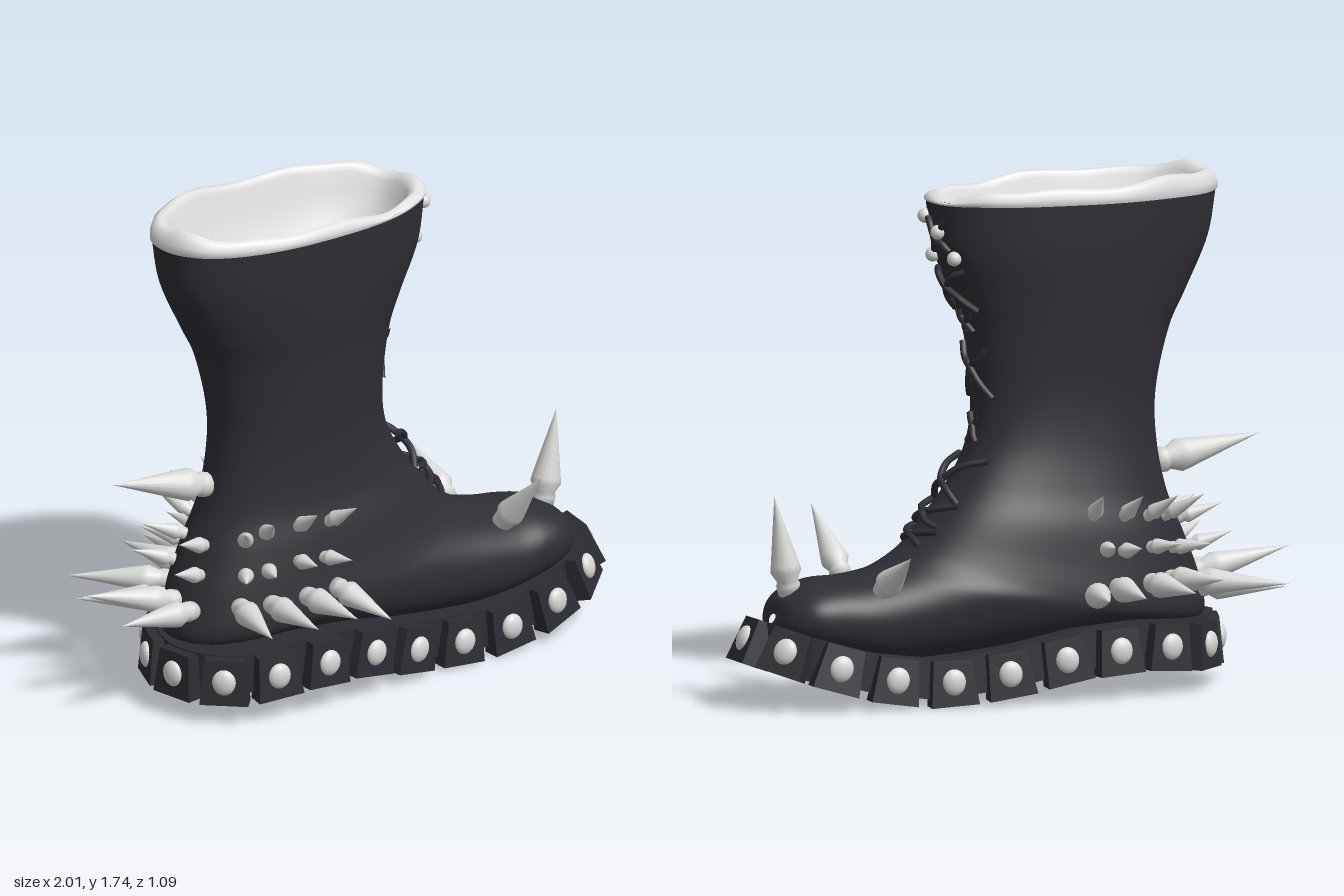
import * as THREE from 'three';
import { toCreasedNormals } from 'three/addons/utils/BufferGeometryUtils.js';

const mat = (name, color) => {
  const m = new THREE.MeshStandardMaterial({ color });
  m.name = name;
  return m;
};
const V = (x, y, z) => new THREE.Vector3(x, y, z);

// Skin between closed rings that all have the same number of points
function loft(rings) {
  const n = rings[0].length, pos = [], idx = [];
  rings.forEach(r => r.forEach(p => pos.push(p.x, p.y, p.z)));
  for (let i = 0; i < rings.length - 1; i++) for (let j = 0; j < n; j++) {
    const a = i * n + j, b = i * n + (j + 1) % n;
    idx.push(a, b, a + n, b, b + n, a + n);
  }
  const g = new THREE.BufferGeometry();
  g.setAttribute('position', new THREE.Float32BufferAttribute(pos, 3));
  g.setIndex(idx);
  g.computeVertexNormals();
  return g;
}

// Boot sections from cuff to toe: front x, y, back x, y, half width, centre z
const SECTIONS = [
  [.285, 1.672, -.745, 1.662, .257, .045], [.26, 1.5, -.715, 1.5, .247, .045],
  [.19, 1.33, -.635, 1.33, .225, .042], [.15, 1.2, -.57, 1.2, .206, .037],
  [.13, 1, -.522, 1, .187, .033], [.15, .85, -.52, .83, .187, .025],
  [.22, .72, -.55, .66, .205, .015], [.3, .62, -.605, .52, .235, .01],
  [.38, .53, -.665, .36, .255, .01], [.43, .49, -.67, .22, .27, .01],
  [.5, .45, -.45, .2, .27, .01], [.55, .435, 0, .15, .25, .02],
  [.62, .425, .45, .12, .225, .035], [.7, .42, .68, .16, .205, .05],
  [.78, .4, .8, .2, .175, .05], [.84, .36, .86, .24, .11, .05],
  [.86, .31, .875, .28, .02, .05]
];
const LAST = SECTIONS.length - 1;
const frontCurve = new THREE.CatmullRomCurve3(SECTIONS.map(s => V(s[0], s[1], s[4])), false, 'catmullrom');
const backCurve = new THREE.CatmullRomCurve3(SECTIONS.map(s => V(s[2], s[3], s[5])), false, 'catmullrom');
const round = v => Math.sign(v) * Math.pow(Math.abs(v), 2 / 2.25);

// One section ring; row counts along SECTIONS
function sectionRing(row, scale = 1, n = 96) {
  const f = frontCurve.getPoint(row / LAST), b = backCurve.getPoint(row / LAST);
  return Array.from({ length: n }, (_, j) => {
    const t = j / n * Math.PI * 2, c = round(Math.cos(t)) * scale, s = round(Math.sin(t)) * scale;
    return V((f.x + b.x) / 2 + (f.x - b.x) / 2 * c, (f.y + b.y) / 2 + (f.y - b.y) / 2 * c, b.z + f.z * s);
  });
}

// Sole outline (x, z) and its underside height along x
const OUTLINE = [
  [-.76, .08], [-.71, .23], [-.6, .33], [-.4, .375], [-.1, .37], [.2, .33], [.45, .325], [.7, .305],
  [.87, .23], [.97, .07], [.92, -.08], [.81, -.17], [.6, -.215], [.35, -.25], [.15, -.285],
  [-.1, -.325], [-.35, -.32], [-.57, -.27], [-.71, -.12]
];
const UNDERSIDE = [[-.8, .07], [-.6, .07], [-.35, .09], [-.1, .075], [.1, .03], [.25, .01], [.4, 0], [.6, .03], [.8, .09], [1, .165]];
function soleY(x) {
  let i = 0;
  while (i < UNDERSIDE.length - 2 && x > UNDERSIDE[i + 1][0]) i++;
  const [x0, y0] = UNDERSIDE[i], [x1, y1] = UNDERSIDE[i + 1];
  return y0 + (y1 - y0) * (x - x0) / (x1 - x0);
}

export function createModel() {
  const root = new THREE.Group();
  root.name = 'spikedBoot';
  const leather = mat('black leather', 0x2e2e35);
  const rubber = mat('black rubber', 0x2c2c33);
  const metal = mat('pale metal', 0xd8d8d6);
  const wool = mat('white fleece', 0xe2e2e2);
  const add = (name, geo, material, parent = root) => {
    const m = new THREE.Mesh(geo, material);
    m.name = name;
    parent.add(m);
    return m;
  };
  const group = name => {
    const g = new THREE.Group();
    g.name = name;
    root.add(g);
    return g;
  };

  // Leather upper: one skin from cuff to toe
  const skin = Array.from({ length: LAST * 8 + 1 }, (_, i) => sectionRing(i / 8));
  add('upper', loft(skin), leather);
  const skinPoints = skin.flat();
  const snap = (x, y, z, wx = 1) => {
    let best = null, d = Infinity;
    for (const p of skinPoints) {
      const e = wx * (p.x - x) ** 2 + (p.y - y) ** 2 + (p.z - z) ** 2;
      if (e < d) { d = e; best = p; }
    }
    return best.clone();
  };

  // Fleece lining and rolled rim: row, scale, lift, wobble
  const lining = [
    [1.7, 0, 0, 0], [1.65, .3, 0, 0], [1.45, .56, 0, 0], [1, .72, 0, 0], [.5, .8, 0, .4], [.2, .84, 0, .7], [0, .87, .015, .9],
    [0, .9, .035, 1], [0, .94, .042, 1], [0, .985, .032, 1], [0, 1.01, .012, .5], [0, 1.01, -.004, .1], [0, .97, -.02, 0]
  ].map(([row, scale, lift, wob]) => sectionRing(row, scale).map((p, j) => {
    const t = j / 96 * Math.PI * 2;
    p.y += lift + wob * (-.022 * Math.cos(t) + .007 * Math.sin(5 * t) + .005 * Math.sin(9 * t + 1) - .01 * Math.sin(t));
    return p;
  }));
  add('fleeceLining', loft(lining), wool);

  // Sole slab, inset from the tread blocks
  const outline = new THREE.CatmullRomCurve3(OUTLINE.map(([x, z]) => V(x, 0, z)), true);
  const edge = outline.getSpacedPoints(120).slice(0, 120);
  const slabEdge = edge.map((p, i) => {
    const t = edge[(i + 1) % 120].clone().sub(edge[(i + 119) % 120]).normalize();
    return p.clone().addScaledVector(V(-t.z, 0, t.x), -.045);
  });
  const slabRing = (lift, spread) => slabEdge.map(p => V(p.x, soleY(p.x) + lift, .04 + (p.z - .04) * spread));
  const slab = loft([slabRing(.025, 0), slabRing(.025, 1), slabRing(.16, .98), slabRing(.16, 0)]);
  add('soleSlab', toCreasedNormals(slab, .6), rubber);

  // Tread blocks with a domed stud on each
  const tread = group('treadBlocks');
  const blockGeo = new THREE.BoxGeometry(.165, .155, .065);
  const bp = blockGeo.attributes.position;
  for (let i = 0; i < bp.count; i++) if (bp.getY(i) > 0) {
    bp.setX(i, bp.getX(i) * .8);
    if (bp.getZ(i) > 0) bp.setZ(i, bp.getZ(i) - .015);
  }
  blockGeo.computeVertexNormals();
  const domeGeo = new THREE.SphereGeometry(.045, 16, 10);
  const COUNT = 21;
  for (let i = 0; i < COUNT; i++) {
    const u = (i + .2) / COUNT, p = outline.getPointAt(u), t = outline.getTangentAt(u);
    const slope = (soleY(p.x + .07) - soleY(p.x - .07)) / .14;
    t.y = t.x * slope;
    t.normalize();
    const out = t.clone().cross(V(-slope, 1, 0)).normalize();
    const block = new THREE.Group();
    block.name = 'treadBlock';
    block.quaternion.setFromRotationMatrix(new THREE.Matrix4().makeBasis(t, out.clone().cross(t), out));
    block.position.set(p.x, soleY(p.x) + .0775, p.z).addScaledVector(out, -.03);
    tread.add(block);
    add('block', blockGeo, rubber, block);
    const stud = add('soleStud', domeGeo, metal, block);
    stud.position.set(0, .003, .024);
    stud.scale.set(.9, 1, .5);
  }

  // Spikes: collar, shoulder and long tip
  const spikes = group('spikes');
  const spikeGeo = new THREE.LatheGeometry(
    [[0, -.05], [.7, -.05], [.78, .06], [.68, .1], [1, .2], [.93, .27], [0, 1]].map(([x, y]) => new THREE.Vector2(x, y)), 16);
  const spike = (name, base, tip, r) => {
    const dir = tip.clone().sub(base), len = dir.length();
    const m = add(name, spikeGeo, metal, spikes);
    m.position.copy(base);
    m.quaternion.setFromUnitVectors(V(0, 1, 0), dir.normalize());
    m.scale.set(r, len, r);
  };
  // Toe, heel and lower side spikes: base then tip
  [
    ['toeSpike', .56, .43, .18, .578, .625, .365, .048], ['toeSpike', .55, .4, -.135, .54, .53, -.345, .048],
    ['toeSpike', .81, .4, .045, .86, .705, .05, .052],
    ['heelSpike', -.54, .74, .01, -.9, .82, -.02, .056], ['heelSpike', -.68, .37, 0, -1, .435, -.04, .047],
    ['heelSpike', -.67, .35, .1, -.96, .37, .12, .045], ['heelSpike', -.66, .33, -.12, -.89, .33, -.245, .045],
    ['heelSpike', -.6, .37, -.2, -.84, .36, -.375, .045],
    ['sideSpike', -.57, .37, .26, -.61, .37, .5, .044], ['sideSpike', -.435, .37, .28, -.45, .38, .54, .044],
    ['sideSpike', -.31, .37, .28, -.29, .38, .54, .044], ['sideSpike', -.18, .39, .28, -.13, .33, .51, .044],
    ['sideSpike', -.5, .38, -.26, -.57, .4, -.44, .044], ['sideSpike', -.4, .37, -.27, -.44, .37, -.5, .044],
    ['sideSpike', -.28, .37, -.27, -.24, .37, -.535, .044], ['sideSpike', -.16, .37, -.27, -.1, .37, -.545, .044]
  ].forEach(([name, x, y, z, tx, ty, tz, r]) => spike(name, snap(x, y, z), V(tx, ty, tz), r));
  // Two rows of small spikes wrapping the heel
  for (const [y, rise] of [[.49, .025], [.61, .085]]) for (const s of [1, -1]) {
    for (const x of [-.53, -.43, -.31, -.21]) {
      const b = snap(x, y, s * .23);
      spike('smallSpike', b, b.clone().add(V((x + .28) * .35, rise, s * .13)), .027);
    }
    const b = snap(-.62, y - .03, s * .08);
    spike('smallSpike', b, b.clone().add(V(-.14, .05, s * .05)), .028);
  }

  // Laces: crossed cords bulging off the front
  const laces = group('laces');
  const onFront = (y, z, off) => snap(.4, y, z, .03).add(V(off, off * .3, 0));
  for (const [y, h, w, bulge] of [[1.55, .1, .1, .006], [1.37, .14, .15, .03], [1.25, .08, .06, .004],
    [1.09, .16, .15, .014], [.9, .09, .06, .004], [.73, .14, .2, .035], [.62, .07, .2, .025], [.55, .05, .18, .015]]) {
    for (const s of [1, -1]) {
      const path = new THREE.CatmullRomCurve3([-1, -.5, 0, .5, 1].map(k =>
        onFront(y + k * h / 2, .015 + s * k * w / 2, .002 + bulge * (1 - k * k) + (s > 0 ? .006 : 0))));
      add('lace', new THREE.TubeGeometry(path, 20, .012, 8), leather, laces);
    }
  }

  // Lace studs below the cuff
  for (const [y, z] of [[1.605, .1], [1.57, 0], [1.48, .09], [1.475, -.04]]) {
    const stud = add('laceStud', new THREE.SphereGeometry(.025, 14, 10), metal, laces);
    stud.position.copy(onFront(y, z, .01));
  }
  return root;
}
